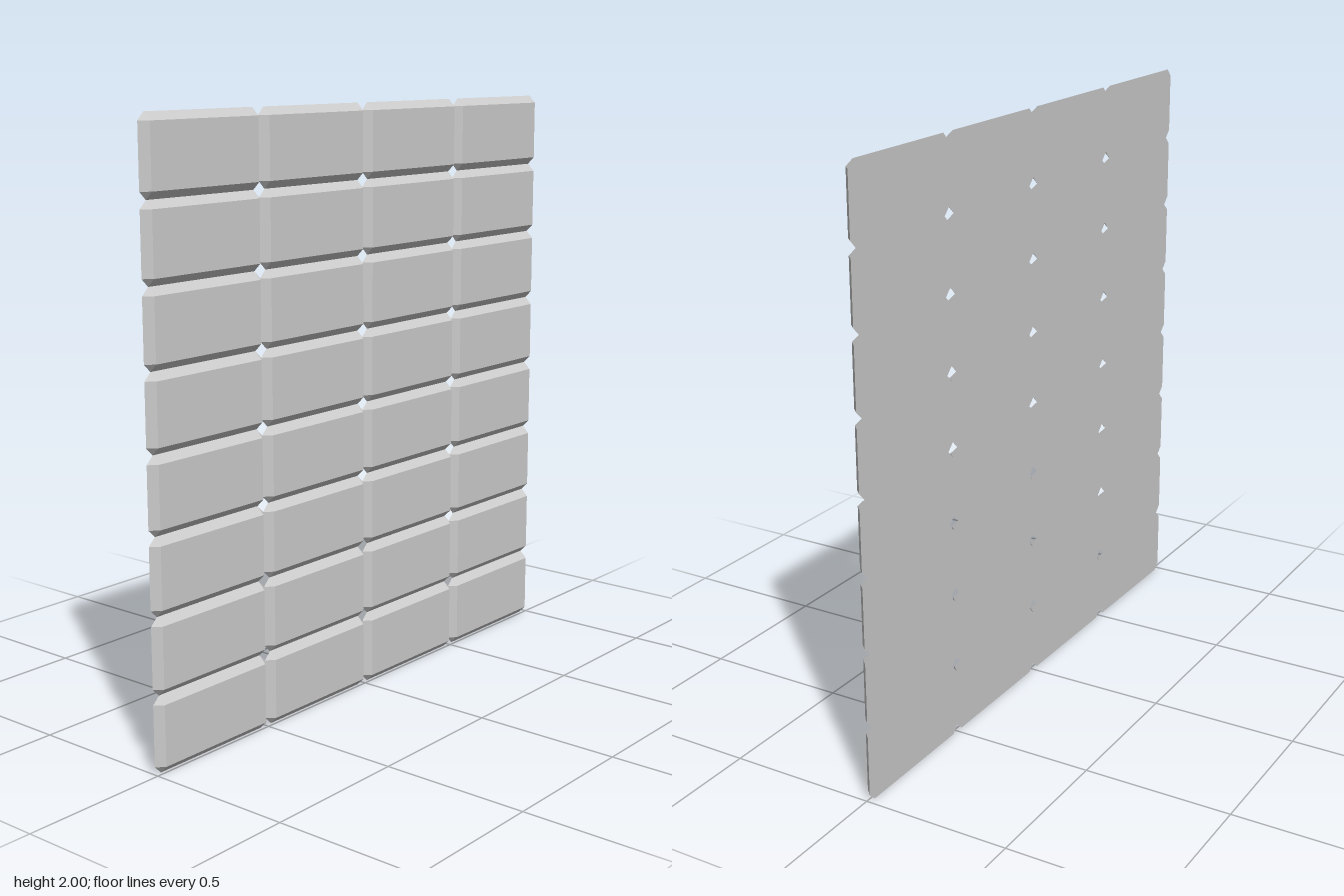
import * as THREE from 'three';
import { ConvexGeometry } from 'three/addons/geometries/ConvexGeometry.js';

const COLS = 4, ROWS = 8;
const W = 0.5, H = 0.25, DEPTH = 0.025, BEVEL = 0.025;

// One bevelled tile: small rectangle in front, full-size rectangle with clipped corners behind
function tileGeometry() {
  const points = [];
  for (const sx of [-1, 1]) {
    for (const sy of [-1, 1]) {
      const x = sx * W / 2, y = sy * H / 2;
      const xi = x - sx * BEVEL, yi = y - sy * BEVEL;
      points.push(
        new THREE.Vector3(xi, yi, DEPTH / 2),
        new THREE.Vector3(x, yi, -DEPTH / 2),
        new THREE.Vector3(xi, y, -DEPTH / 2),
      );
    }
  }
  return new ConvexGeometry(points);
}

export function createModel() {
  const group = new THREE.Group();
  group.name = 'tilePanel';
  const material = new THREE.MeshStandardMaterial({ color: 0xcccccc, flatShading: true });
  const geometry = tileGeometry();

  // Grid of tiles, edge to edge
  for (let row = 0; row < ROWS; row++) {
    for (let col = 0; col < COLS; col++) {
      const tile = new THREE.Mesh(geometry, material);
      tile.name = `tileRow${row + 1}Column${col + 1}`;
      tile.position.set((col - (COLS - 1) / 2) * W, (row + 0.5) * H, 0);
      group.add(tile);
    }
  }
  return group;
}
